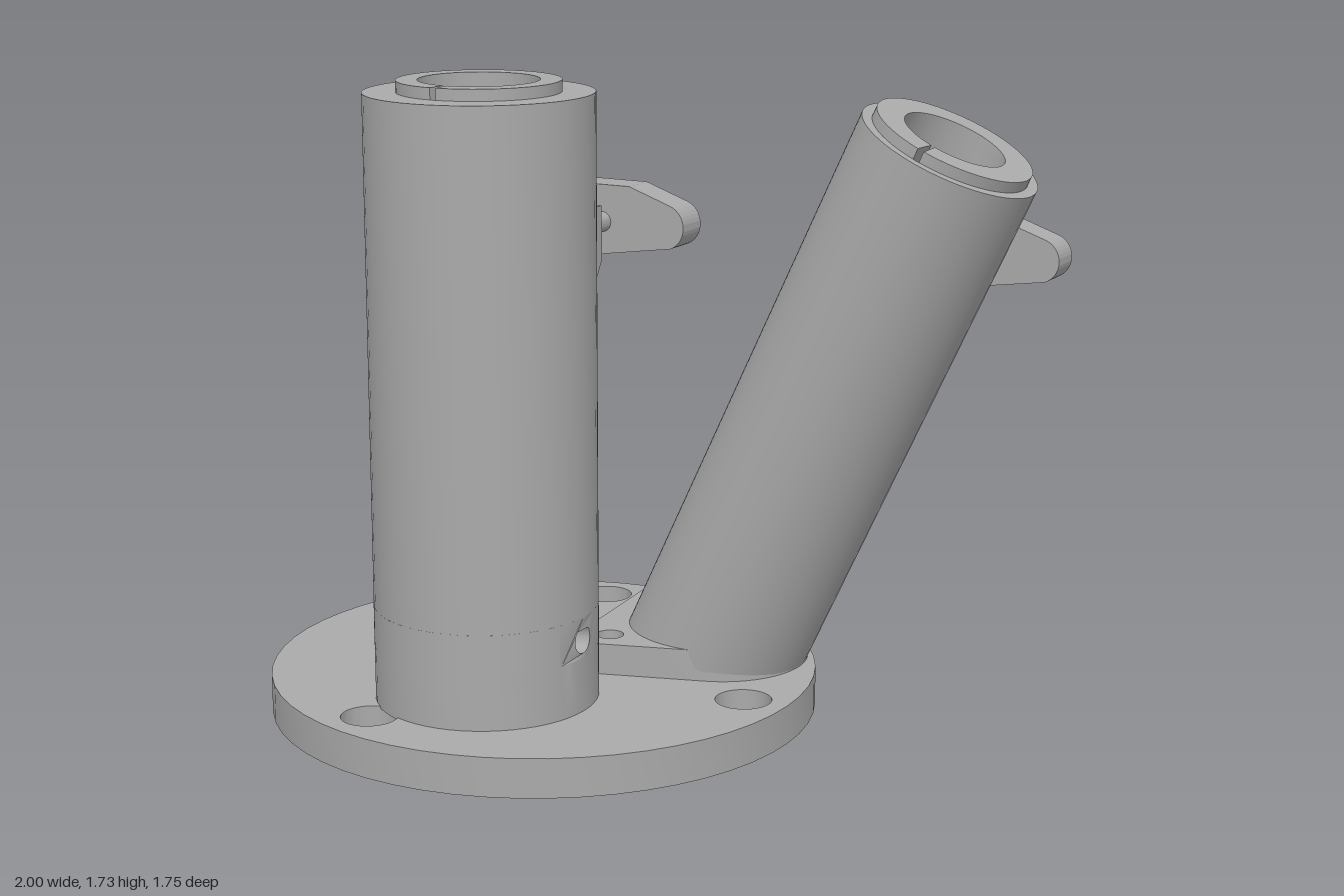
import * as THREE from 'three';
import { toCreasedNormals, mergeGeometries } from 'three/addons/utils/BufferGeometryUtils.js';

const PI = Math.PI;
const TILT = 25 * PI / 180;
const grey = new THREE.MeshStandardMaterial({ color: 0xaaaaaa });
grey.name = 'plain grey';

function mesh(name, geos) {
  const m = new THREE.Mesh(toCreasedNormals(mergeGeometries([geos].flat()), 0.5), grey);
  m.name = name;
  return m;
}

function extrude(shape, depth) {
  return new THREE.ExtrudeGeometry(shape, { depth, bevelEnabled: false, curveSegments: 28 });
}

// Plan shape drawn in x and z, standing between two heights
function slab(shape, y0, y1) {
  return extrude(shape, y1 - y0).rotateX(PI / 2).translate(0, y1, 0);
}

function drill(shape, [x, z], r) {
  shape.holes.push(new THREE.Path().absarc(x, z, r, 0, 2 * PI, true));
}

// Part of a ring between two angles
function sector(rIn, rOut, a0, a1, y0, y1) {
  const s = new THREE.Shape();
  s.absarc(0, 0, rOut, a0, a1, false);
  s.absarc(0, 0, rIn, a1, a0, true);
  s.closePath();
  return slab(s, y0, y1);
}

// Ring with an optional slit at the front
function slitRing(rIn, rOut, slit, y0, y1) {
  return sector(rIn, rOut, PI / 2 + slit, 2.5 * PI - slit, y0, y1);
}

// Curved wall piece with a teardrop hole, bent around the tube axis
function drilledPatch(rIn, rOut, middle, half, y0, y1) {
  const w = half * rOut, n = 8, pts = [];
  for (let i = 0; i <= n; i++) pts.push(new THREE.Vector2(-w + 2 * w * i / n, y0));
  for (let i = 0; i <= n; i++) pts.push(new THREE.Vector2(w - 2 * w * i / n, y1));
  const shape = new THREE.Shape(pts);
  const hole = new THREE.Path();
  hole.moveTo(0, 0.35);
  hole.absarc(0, 0.3, 0.037, PI * 0.75, PI * 2.25, false);
  hole.closePath();
  shape.holes.push(hole);
  const g = new THREE.ExtrudeGeometry(shape, { depth: rOut - rIn, bevelEnabled: false, curveSegments: 8 });
  const p = g.attributes.position;
  for (let i = 0; i < p.count; i++) {
    const a = middle + p.getX(i) / rOut, r = rIn + p.getZ(i);
    p.setXYZ(i, r * Math.cos(a), p.getY(i), -r * Math.sin(a));
  }
  return g;
}

// Upright ring with a cross hole through both sides
function drilledRing(rIn, rOut, slit, top) {
  const lo = 0.25, hi = 0.36, h = 0.3;
  return [
    slitRing(rIn, rOut, slit, 0.1, lo),
    slitRing(rIn, rOut, slit, hi, top),
    sector(rIn, rOut, h, PI / 2 - slit, lo, hi),
    sector(rIn, rOut, PI / 2 + slit, PI - h, lo, hi),
    sector(rIn, rOut, PI + h, 2 * PI - h, lo, hi),
    drilledPatch(rIn, rOut, 0, h, lo, hi),
    drilledPatch(rIn, rOut, PI, h, lo, hi),
  ];
}

// Cut the lower end of a leaning ring level with the base
function cutLevel(g, topY) {
  const p = g.attributes.position;
  for (let i = 0; i < p.count; i++) {
    if (p.getY(i) < -1) p.setY(i, (0.1 - topY + p.getX(i) * Math.sin(TILT)) / Math.cos(TILT));
  }
  return g;
}

// Clamp behind a tube: nut bracket, screw and wing knob, origin at tube top
function clamp(rStart, lean) {
  const g = new THREE.Group();
  g.name = 'clamp';
  const top = -0.348, out = 0.448, screwY = -0.424;
  const profile = (notched) => {
    const pts = [[rStart, top - 0.425], [rStart + 0.01, top - 0.415], [out, top - 0.149], [out, top]];
    if (notched) pts.push([0.408, top], [0.408, top - 0.14], [0.345, top - 0.14], [0.345, top]);
    pts.push([rStart, top]);
    return new THREE.Shape(pts.map(([u, v]) => new THREE.Vector2(u, v)));
  };
  const slice = (x0, x1, notched) =>
    extrude(profile(notched), x1 - x0).rotateY(PI / 2).translate(x0, 0, 0);
  g.add(mesh('nutBracket', [slice(-0.095, -0.06, false), slice(-0.06, 0.06, true), slice(0.06, 0.095, false)]));

  const rod = new THREE.CylinderGeometry(0.028, 0.028, 0.33, 24).rotateX(PI / 2);
  const screw = mesh('screw', rod);
  screw.position.set(0, screwY, -0.465);
  g.add(screw);

  // Wing knob with rounded ends and a hexagonal recess in its back
  const wing = () => {
    const s = new THREE.Shape();
    s.moveTo(0.085, -0.103);
    s.absarc(0.19, 0, 0.063, -1.2, 1.2, false);
    s.lineTo(0.085, 0.103);
    s.lineTo(-0.085, 0.103);
    s.absarc(-0.19, 0, 0.063, PI - 1.2, PI + 1.2, false);
    s.lineTo(-0.085, -0.103);
    s.closePath();
    return s;
  };
  const back = wing();
  const hex = [0, 1, 2, 3, 4, 5].map(i => new THREE.Vector2(0.058 * Math.cos(i * PI / 3), 0.058 * Math.sin(i * PI / 3)));
  back.holes.push(new THREE.Path(hex));
  const knob = mesh('wingKnob', [
    extrude(back, 0.04).translate(0, 0, -0.713),
    extrude(wing(), 0.06).translate(0, 0, -0.673),
  ]);
  knob.position.y = screwY;
  knob.rotation.z = lean;
  g.add(knob);
  return g;
}

export function createModel() {
  const model = new THREE.Group();
  model.name = 'twinTubeHolder';

  // Round base with counterbored mounting holes
  const mountHoles = [[-0.415, -0.475], [0.357, 0.14], [-0.43, 0.722]];
  const padHoles = [[-0.132, -0.403], [-0.09, 0.065]];
  const disc = (mountR) => {
    const s = new THREE.Shape().absarc(-0.26, 0.13, 0.741, 0, 2 * PI, false);
    mountHoles.forEach(c => drill(s, c, mountR));
    padHoles.forEach(c => drill(s, c, 0.037));
    return s;
  };
  model.add(mesh('base', [slab(disc(0.04), 0, 0.05), slab(disc(0.075), 0.05, 0.105)]));

  // Rounded foot pad under the leaning tube
  const pad = new THREE.Shape();
  pad.absarc(0.13, -0.165, 0.24, -1.295, 1.27, false);
  pad.absarc(-0.09, 0.065, 0.085, 1.27, 3.056, false);
  pad.absarc(-0.13, -0.4, 0.085, 3.056, 4.988, false);
  pad.closePath();
  padHoles.forEach(c => drill(pad, c, 0.037));
  model.add(mesh('footPad', slab(pad, 0.105, 0.19)));

  // Upright tube with slit inner sleeve
  const upright = new THREE.Group();
  upright.name = 'uprightTube';
  upright.position.set(-0.26, 0, 0.42);
  upright.add(mesh('uprightOuter', drilledRing(0.21, 0.295, 0, 1.7)));
  upright.add(mesh('uprightSleeve', drilledRing(0.155, 0.21, 0.04, 1.73)));
  const uprightClamp = clamp(0.27, 0);
  uprightClamp.position.y = 1.7;
  upright.add(uprightClamp);
  model.add(upright);

  // Leaning tube with slit inner sleeve
  const leaning = new THREE.Group();
  leaning.name = 'leaningTube';
  const topY = 1.55;
  leaning.position.set(0.775, topY, -0.165);
  leaning.rotation.z = -TILT;
  leaning.add(mesh('leaningOuter', cutLevel(slitRing(0.215, 0.243, 0, -1.5, 0), topY)));
  leaning.add(mesh('leaningSleeve', cutLevel(slitRing(0.139, 0.215, 0.04, -1.5, 0.03), topY)));
  leaning.add(clamp(0.217, TILT));
  model.add(leaning);

  return model;
}
